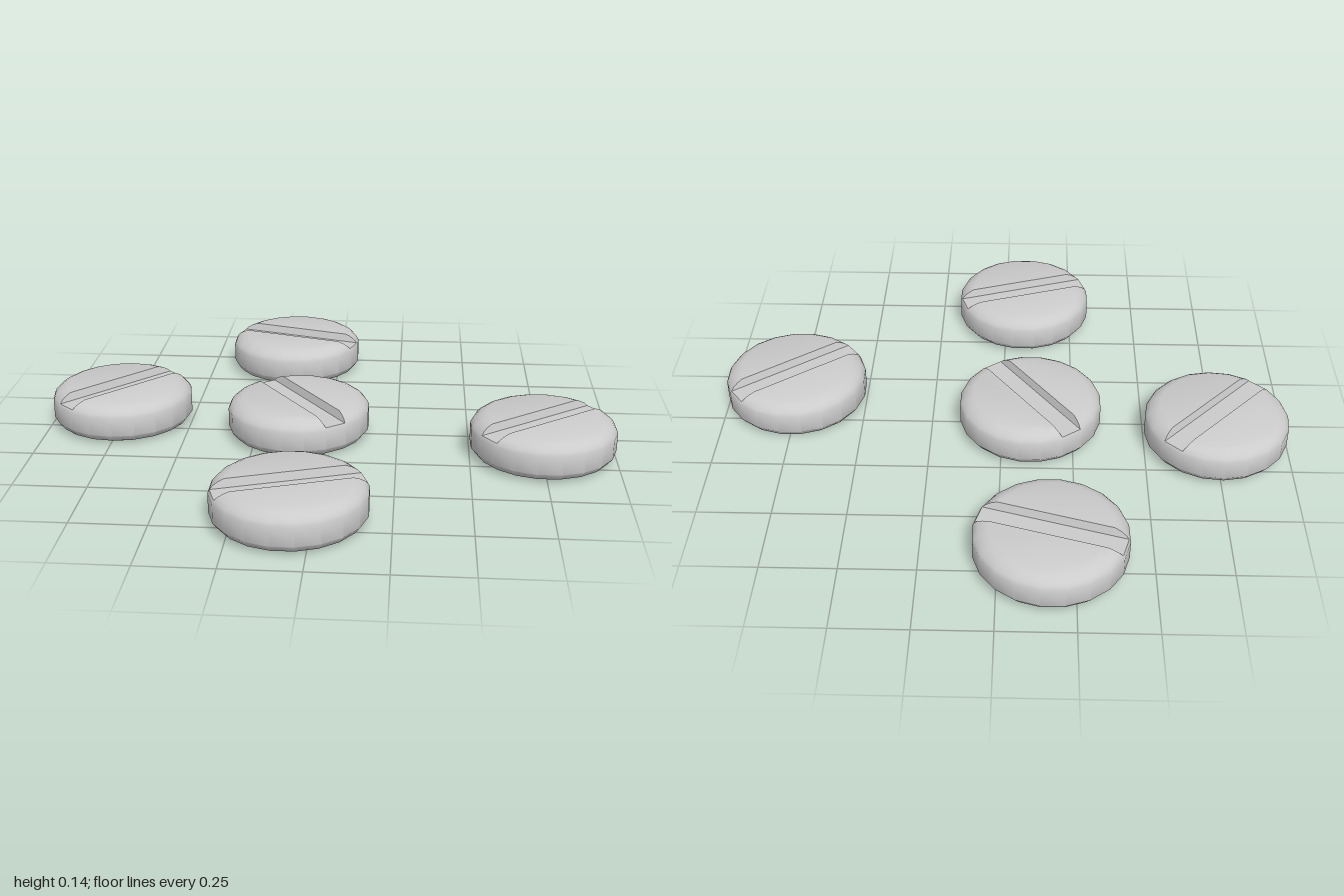
import * as THREE from 'three';
import { mergeGeometries, toCreasedNormals } from 'three/addons/utils/BufferGeometryUtils.js';

const SIDES = 20;
const STEP = (Math.PI * 2) / SIDES;
const FLOOR_Y = 0.112, TOP_Y = 0.14, RIM_R = 0.244;
const FLOOR_HALF = RIM_R * Math.sin(STEP / 2), TOP_HALF = 0.046;

// Rounded shoulder above the groove floor: [radius, height]
const SHOULDER = [[RIM_R, FLOOR_Y], [0.234, 0.123], [0.218, 0.133], [0.2, TOP_Y]];

// One level of a half cap: polygon corners, the two ends slid to the groove wall
function capRow([r, y]) {
  const n = SIDES / 2;
  const wall = THREE.MathUtils.mapLinear(y, FLOOR_Y, TOP_Y, FLOOR_HALF, TOP_HALF);
  const corner = (j) => {
    const a = STEP * (j + 0.5);
    return new THREE.Vector3(r * Math.cos(a), y, r * Math.sin(a));
  };
  const row = Array.from({ length: n }, (_, j) => corner(j));
  const t = (wall - row[0].z) / (row[1].z - row[0].z);
  row[0].lerp(row[1], t);
  row[n - 1].lerp(row[n - 2], t);
  return row;
}

function grooveAndCaps() {
  const pos = [];
  const tri = (...pts) => pts.forEach((p) => pos.push(p.x, p.y, p.z));
  const quad = (a, b, c, d) => { tri(a, b, c); tri(a, c, d); };
  const turn = (p) => new THREE.Vector3(-p.x, p.y, -p.z);
  const half = SHOULDER.map(capRow);

  // Two caps, one on each side of the groove
  for (const rows of [half, half.map((row) => row.map(turn))]) {
    const last = rows[0].length - 1;
    for (let i = 0; i < rows.length - 1; i++) {
      const lo = rows[i], up = rows[i + 1];
      for (let j = 0; j < last; j++) quad(lo[j + 1], lo[j], up[j], up[j + 1]);
      quad(lo[0], lo[last], up[last], up[0]); // sloped groove wall
    }
    const top = rows[rows.length - 1];
    for (let j = 1; j < last; j++) tri(top[0], top[j + 1], top[j]);
  }

  // Groove floor
  const a = half[0][0], b = half[0][half[0].length - 1];
  quad(a, turn(b), turn(a), b);

  const geo = new THREE.BufferGeometry();
  geo.setAttribute('position', new THREE.Float32BufferAttribute(pos, 3));
  return geo;
}

function tabletGeometry() {
  // Underside and rim
  const profile = [[0, 0], [0.205, 0], [0.232, 0.012], [0.25, 0.035], [0.25, 0.1], [RIM_R, FLOOR_Y]]
    .map(([r, y]) => new THREE.Vector2(r, y));
  const body = new THREE.LatheGeometry(profile, SIDES, STEP / 2).toNonIndexed();
  body.deleteAttribute('uv');
  body.deleteAttribute('normal');
  return toCreasedNormals(mergeGeometries([body, grooveAndCaps()]), THREE.MathUtils.degToRad(38));
}

export function createModel() {
  const group = new THREE.Group();
  group.name = 'scoredTablets';
  const geometry = tabletGeometry();
  const material = new THREE.MeshStandardMaterial({ color: 0xcccccc });

  // Tablet x, z and groove direction in degrees
  const layout = [
    [-0.17, -0.68, -16.6],
    [-0.75, -0.08, 47],
    [-0.1, 0, -54],
    [0.75, 0.13, 37.5],
    [-0.07, 0.675, 18.5],
  ];
  layout.forEach(([x, z, deg], i) => {
    const tablet = new THREE.Mesh(geometry, material);
    tablet.name = `tablet${i + 1}`;
    tablet.position.set(x, 0, z);
    tablet.rotation.y = THREE.MathUtils.degToRad(deg);
    group.add(tablet);
  });
  return group;
}
